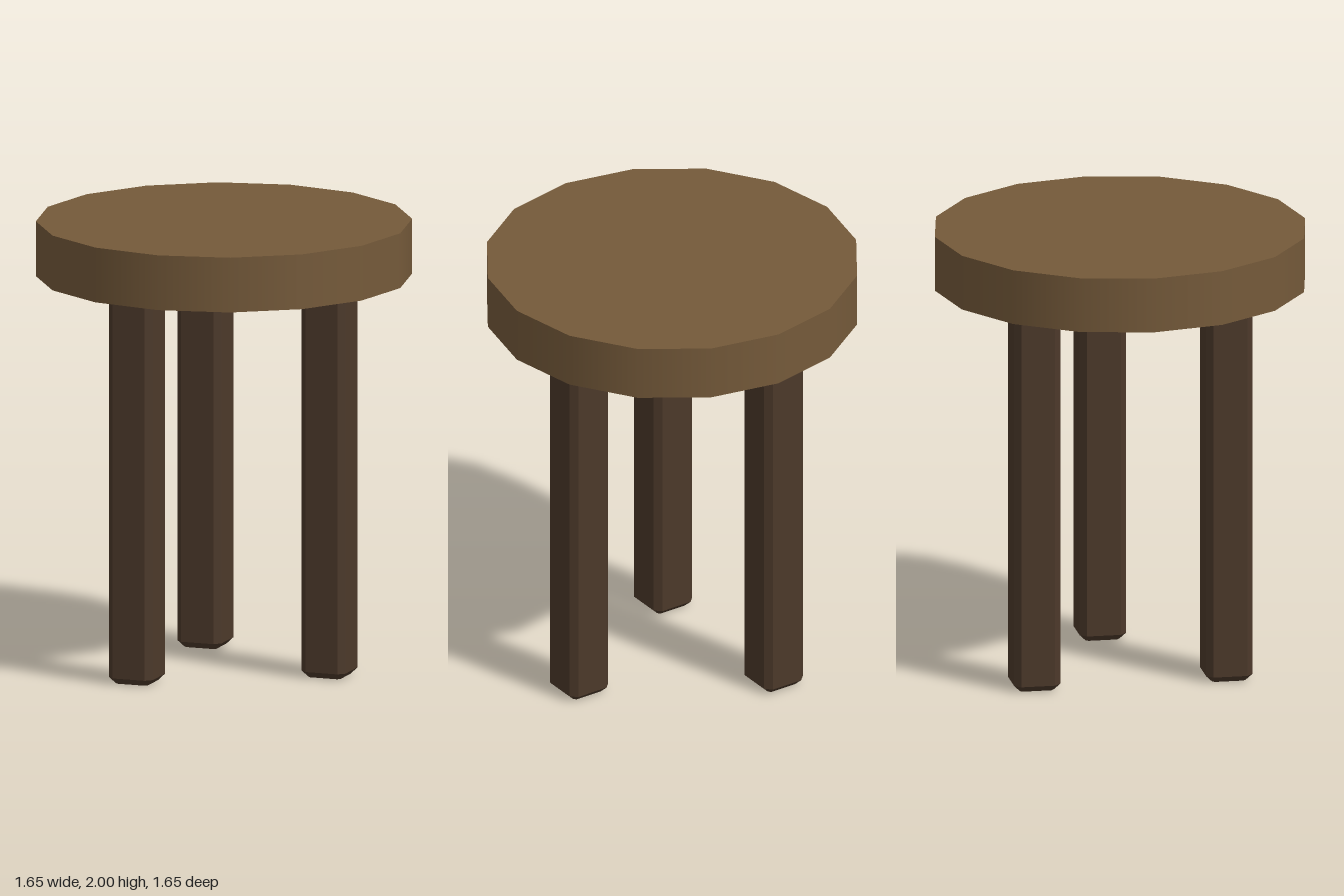
import * as THREE from 'three';

const SEAT_RADIUS = 0.825, SEAT_BOTTOM = 1.755, SEAT_TOP = 2;
const LEG_HALF = 0.103, LEG_CHAMFER = 0.028, LEG_TOP = 1.79, LEG_RING = 0.494;

// Square post with chamfered long edges and chamfered ends, standing on y = 0
function chamferedPost(half, chamfer, height) {
  const inner = half - chamfer;
  const outline = new THREE.Shape([
    [half, -inner], [half, inner], [inner, half], [-inner, half],
    [-half, inner], [-half, -inner], [-inner, -half], [inner, -half],
  ].map(([x, y]) => new THREE.Vector2(x, y)));
  const geometry = new THREE.ExtrudeGeometry(outline, {
    depth: height - 2 * chamfer,
    bevelEnabled: true,
    bevelSegments: 1,
    bevelThickness: chamfer,
    bevelSize: chamfer,
    bevelOffset: -chamfer,
  });
  return geometry.translate(0, 0, chamfer).rotateX(-Math.PI / 2);
}

export function createModel() {
  const stool = new THREE.Group();
  stool.name = 'stool';

  // Sixteen-sided seat with a smoothly shaded rim
  const seat = new THREE.Mesh(
    new THREE.CylinderGeometry(SEAT_RADIUS, SEAT_RADIUS, SEAT_TOP - SEAT_BOTTOM, 16),
    new THREE.MeshStandardMaterial({ color: 0x755a3a }),
  );
  seat.name = 'seat';
  seat.position.y = (SEAT_TOP + SEAT_BOTTOM) / 2;
  stool.add(seat);

  // Three legs spaced evenly on a ring, all squared to the axes and let into the seat
  const legGeometry = chamferedPost(LEG_HALF, LEG_CHAMFER, LEG_TOP);
  const legMaterial = new THREE.MeshStandardMaterial({ color: 0x4c392a, flatShading: true });
  ['leftLeg', 'frontRightLeg', 'backRightLeg'].forEach((name, i) => {
    const angle = (i * 2 * Math.PI) / 3;
    const leg = new THREE.Mesh(legGeometry, legMaterial);
    leg.name = name;
    leg.position.set(LEG_RING * Math.cos(angle), 0, LEG_RING * Math.sin(angle));
    stool.add(leg);
  });

  return stool;
}
